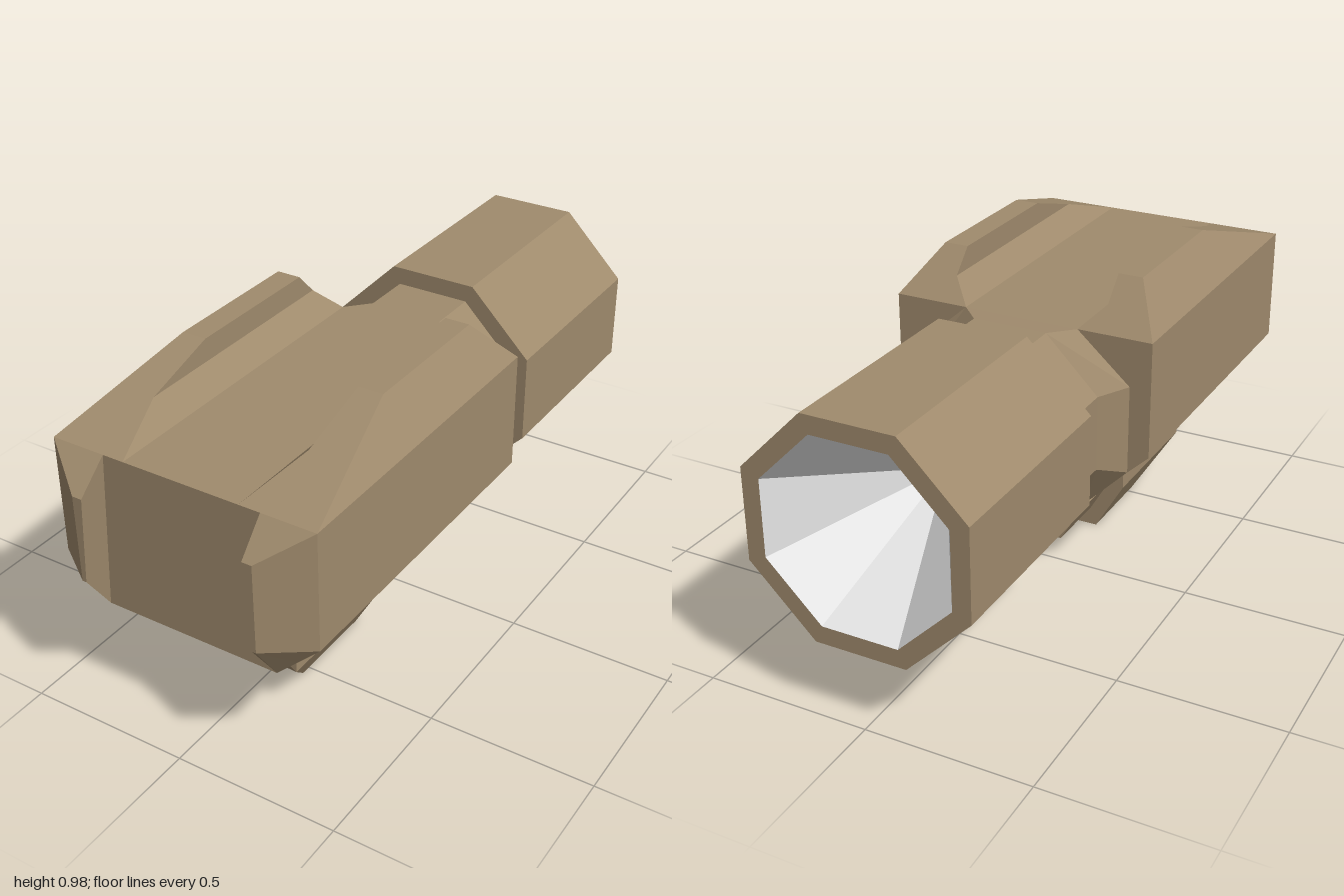
import * as THREE from 'three';

// Skin a list of rings (each a list of [x, y, z], counter-clockwise seen from +z), with optional end caps.
function loft(rings, startCap = true, endCap = true) {
  const pos = [];
  const tri = (...pts) => pts.forEach((p) => pos.push(...p));
  for (let r = 0; r < rings.length - 1; r++) {
    const a = rings[r], b = rings[r + 1];
    for (let i = 0; i < a.length; i++) {
      const j = (i + 1) % a.length;
      tri(a[i], a[j], b[j]);
      tri(a[i], b[j], b[i]);
    }
  }
  const cap = (ring, flip) => {
    const flat = ring.map(([x, y]) => new THREE.Vector2(x, y));
    for (const [i, j, k] of THREE.ShapeUtils.triangulateShape(flat, [])) {
      if (flip) tri(ring[i], ring[k], ring[j]);
      else tri(ring[i], ring[j], ring[k]);
    }
  };
  if (startCap) cap(rings[0], true);
  if (endCap) cap(rings[rings.length - 1], false);
  const geo = new THREE.BufferGeometry();
  geo.setAttribute('position', new THREE.Float32BufferAttribute(pos, 3));
  geo.computeVertexNormals();
  return geo;
}

// Regular polygon ring; half is the distance from centre to a flat side.
function polygon(n, half, cy, z, turn) {
  const r = half / Math.cos(Math.PI / n);
  return Array.from({ length: n }, (_, i) => {
    const t = turn + (i * 2 * Math.PI) / n;
    return [r * Math.cos(t), cy + r * Math.sin(t), z];
  });
}
const octagon = (half, z) => polygon(8, half, 0.568, z, Math.PI / 8);
const hexagon = (half, z) => polygon(6, half, 0.175, z, 0);

// Give a flat outline its z, either constant or from a rule of y.
const at = (outline, z) => outline.map(([x, y]) => [x, y, typeof z === 'function' ? z(y) : z]);
const mirror = (ring) => ring.map(([x, y, z]) => [-x, y, z]).reverse();

export function createModel() {
  const model = new THREE.Group();
  const tan = new THREE.MeshStandardMaterial({ color: 0xa08b6d });
  tan.name = 'tan';
  const lightGrey = new THREE.MeshStandardMaterial({ color: 0xe6e6e6 });
  lightGrey.name = 'light grey';

  const add = (name, geo, material = tan) => {
    const mesh = new THREE.Mesh(geo, material);
    mesh.name = name;
    model.add(mesh);
  };
  const addPair = (name, rings) => {
    add('left' + name, loft(rings));
    add('right' + name, loft(rings.map(mirror)));
  };

  // Main body
  const bodyOutline = [
    [0.41, 0.49], [0.41, 0.845], [-0.41, 0.845], [-0.41, 0.49], [-0.275, 0.36], [0.275, 0.36],
  ];
  add('body', loft([at(bodyOutline, -0.11), at(bodyOutline, 0.91)]));

  // Top fins, with sloped front and back ends
  const finOutline = [[0.18, 0.845], [0.41, 0.845], [0.32, 0.98], [0.245, 0.98], [0.245, 0.91]];
  addPair('Fin', [
    at(finOutline, (y) => -0.11 + (y - 0.845) * 0.96),
    at(finOutline, (y) => 0.91 - (y - 0.845) * 3.26),
  ]);

  // Front cheeks, tapering forward beside the recessed nose plate
  addPair('Cheek', [
    at([[0.245, 0.845], [0.275, 0.36], [0.342, 0.425], [0.41, 0.49], [0.41, 0.845]], 0.91),
    at([[0.25, 0.757], [0.267, 0.49], [0.28, 0.49], [0.28, 0.49], [0.28, 0.757]], 1),
  ]);

  // Octagonal neck flaring into the collar behind the body
  const collar = (bx, by) => [
    [0.345, 0.7], [0.18, 0.845], [-0.18, 0.845], [-0.345, 0.7],
    [-0.345, 0.428], [-bx, by], [bx, by], [0.345, 0.428],
  ];
  add('neck', loft([
    octagon(0.278, -0.34), octagon(0.278, -0.178),
    at(collar(0.21, 0.29), -0.11), at(collar(0.275, 0.36), -0.045),
  ]));

  // Rear barrel with its rim, and the flared lining inside
  add('barrel', loft([octagon(0.278, -1), octagon(0.332, -1), octagon(0.332, -0.335)], false, true));
  add('barrelLining', loft([octagon(0.045, -0.62), octagon(0.278, -1)], false, false), lightGrey);
  add('liningPlug', loft([octagon(0.045, -0.62), octagon(0.045, -0.6)]));

  // Lower housing, chamfered at the front and sides
  const housing = [[0.178, 0.16], [0.178, 0.37], [-0.178, 0.37], [-0.178, 0.16], [-0.086, 0], [0.086, 0]];
  add('lowerHousing', loft([
    at(housing, 0.245),
    at(housing, (y) => 0.69 - Math.max(0, 0.16 - y)),
  ]));

  // Small hexagonal nozzle with a bored hole
  add('lowerNozzle', loft([
    hexagon(0.032, 0.14), hexagon(0.032, 0.025), hexagon(0.115, 0.025), hexagon(0.115, 0.25),
  ]));

  return model;
}
